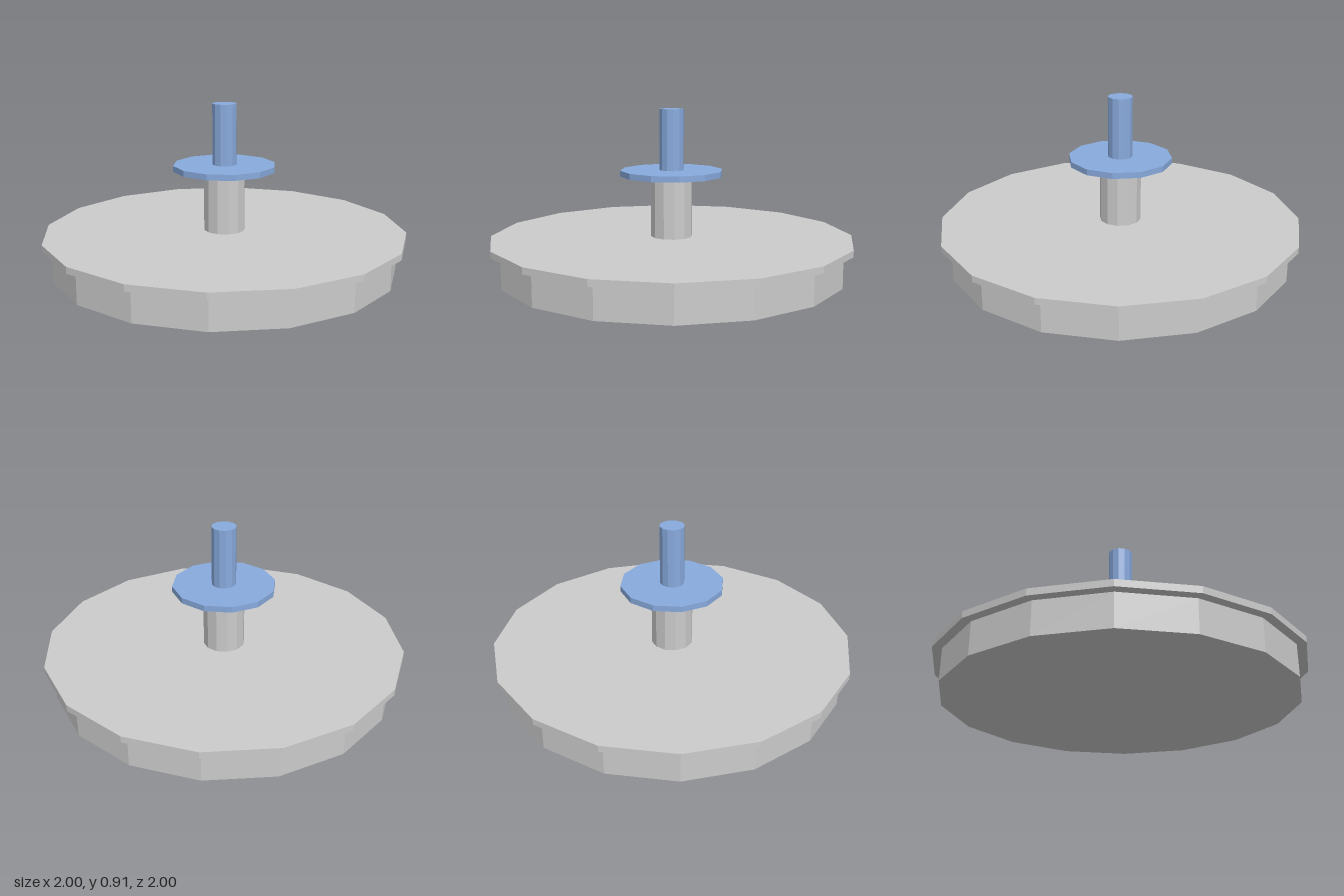
import * as THREE from 'three';

const grey = new THREE.MeshStandardMaterial({ color: 0xcccccc, flatShading: true });
const blue = new THREE.MeshStandardMaterial({ color: 0x88aadd, flatShading: true });

// Upright faceted disc or post between two heights
function post(name, radius, bottom, top, sides, material) {
  const mesh = new THREE.Mesh(
    new THREE.CylinderGeometry(radius, radius, top - bottom, sides), material);
  mesh.name = name;
  mesh.position.y = (bottom + top) / 2;
  return mesh;
}

export function createModel() {
  const model = new THREE.Group();
  model.name = 'tieredStand';
  model.add(
    // Wide round base with an overhanging top
    post('base', 0.95, 0, 0.172, 16, grey),
    post('baseTop', 1, 0.172, 0.207, 16, grey),
    // Column carrying the small plate and its pin
    post('column', 0.114, 0.207, 0.543, 12, grey),
    post('plate', 0.283, 0.543, 0.575, 12, blue),
    post('pin', 0.067, 0.575, 0.908, 12, blue),
  );
  return model;
}
